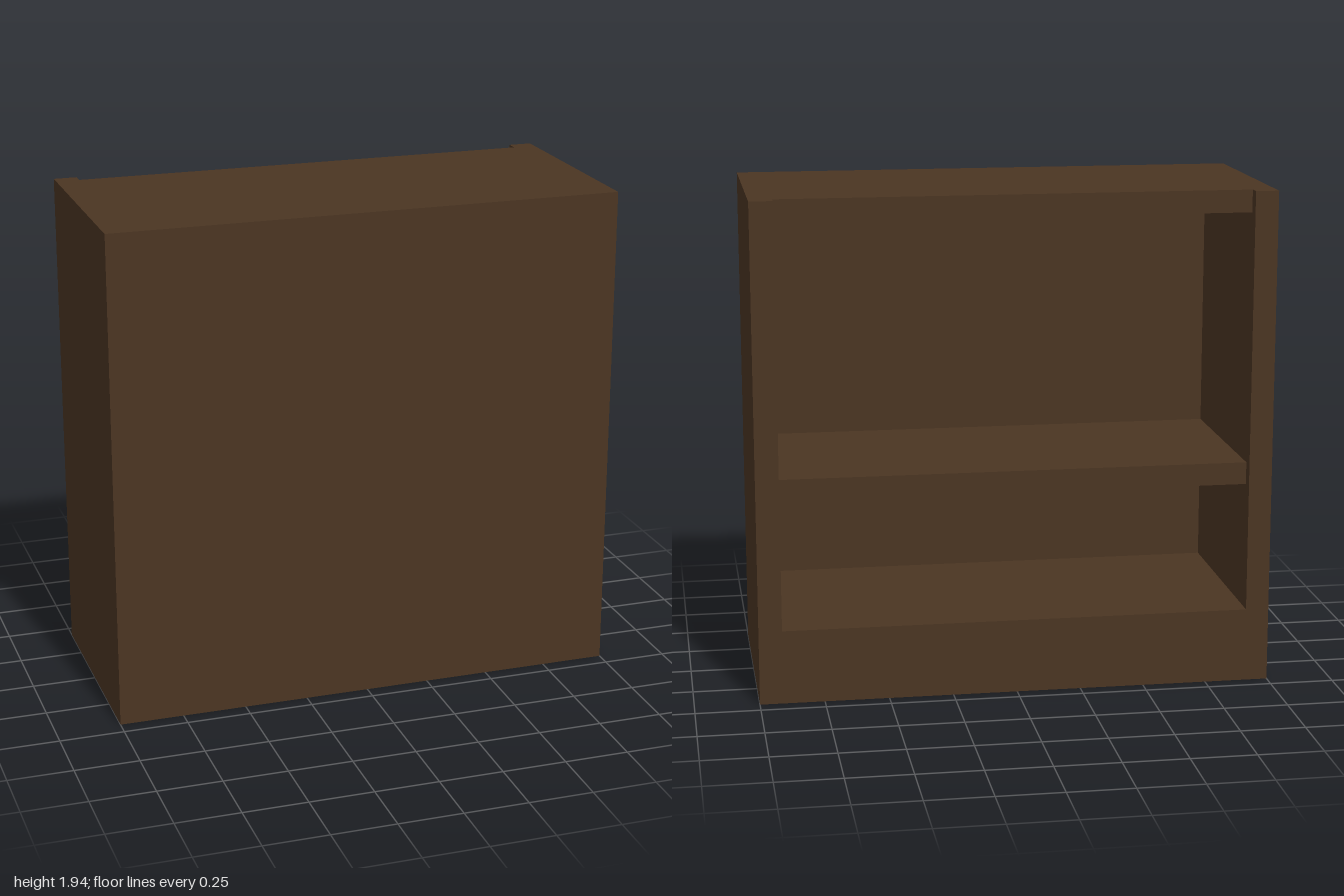
import * as THREE from 'three';

export function createModel() {
  const group = new THREE.Group();
  group.name = 'bookcase';
  const darkWood = new THREE.MeshStandardMaterial({ color: 0x4b3522 });
  darkWood.name = 'dark wood';

  // A board given by its extents on each axis
  const board = (name, x0, x1, y0, y1, z0, z1) => {
    const mesh = new THREE.Mesh(new THREE.BoxGeometry(x1 - x0, y1 - y0, z1 - z0), darkWood);
    mesh.position.set((x0 + x1) / 2, (y0 + y1) / 2, (z0 + z1) / 2);
    mesh.name = name;
    group.add(mesh);
  };

  const height = 1.94, depth = 0.4375, inner = 0.91;
  const panelZ = 0.375; // inner face of the closed front
  const recessZ = -0.39; // shelf and top stop short of the open side

  // Side walls, full height and depth
  board('leftSide', inner, 1, 0, height, -depth, depth);
  board('rightSide', -1, -inner, 0, height, -depth, depth);

  // Closed front panel and solid plinth
  board('frontPanel', -inner, inner, 0, height, panelZ, depth);
  board('plinth', -inner, inner, 0, 0.29, -depth, panelZ);

  // Middle shelf and top board, set back from the opening
  board('shelf', -inner, inner, 0.787, 0.874, recessZ, panelZ);
  board('top', -inner, inner, 1.853, height, recessZ, panelZ);

  return group;
}
